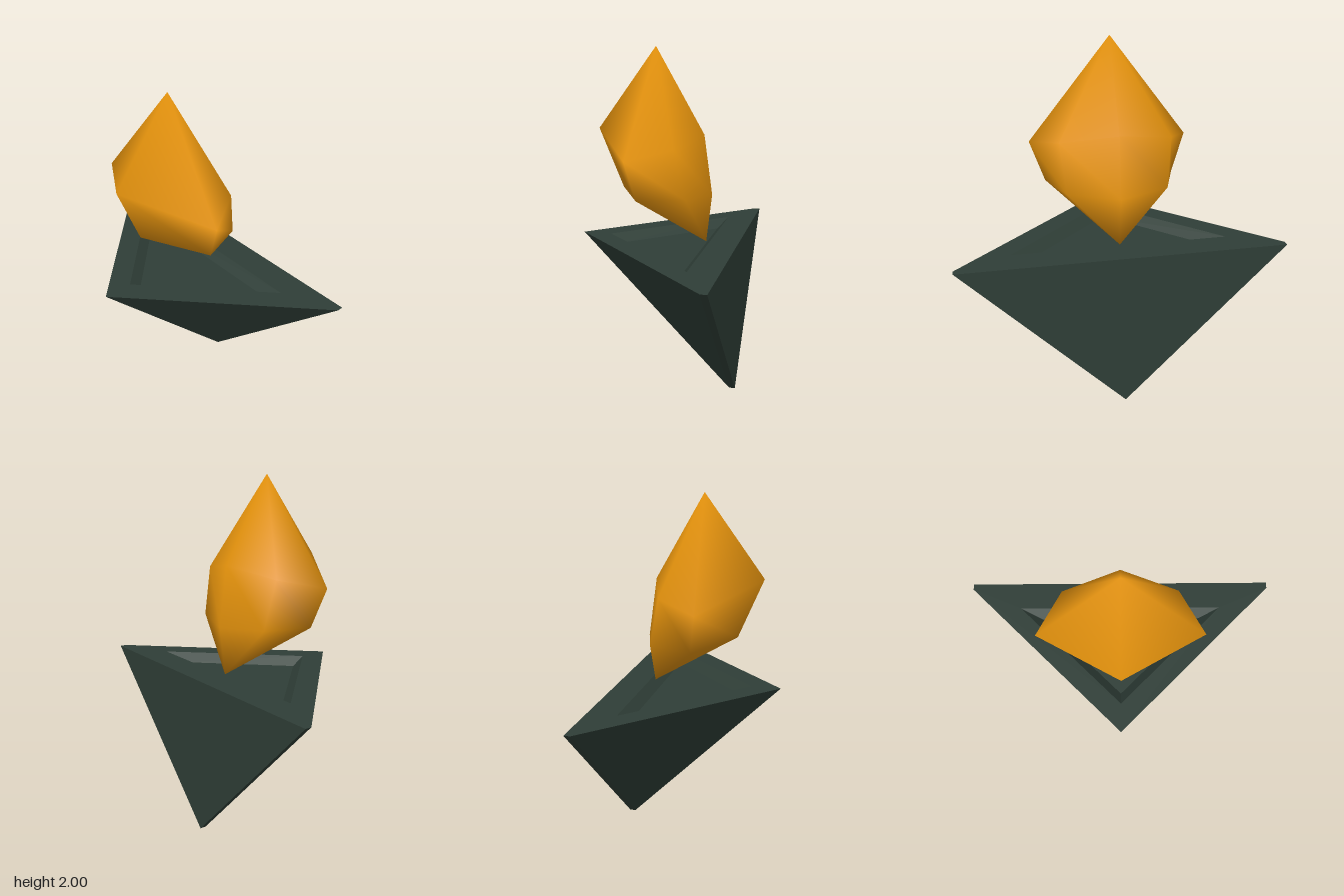
import * as THREE from 'three';

// Builds an indexed geometry from points and convex, counter-clockwise faces
function fromFaces(points, faces) {
  const g = new THREE.BufferGeometry();
  g.setAttribute('position', new THREE.Float32BufferAttribute(points.flat(), 3));
  const index = [];
  for (const f of faces) {
    for (let i = 1; i < f.length - 1; i++) index.push(f[0], f[i], f[i + 1]);
  }
  g.setIndex(index);
  return g;
}

// Inverted three-sided pyramid with a chamfered recess in its top
function makeBase() {
  const top = 0.91, floor = 0.86, w = 0.905, x1 = 0.435, x2 = 0.47;
  const points = [
    [-0.47, top, 0],                                               // 0 tip
    [x1, top, w], [x2, top, w], [x2, top, -w], [x1, top, -w],      // 1-4 top corners
    [x1, 0, 0], [x2, 0, 0],                                        // 5-6 bottom edge
    [-0.3, top, 0], [0.305, top, 0.605], [0.305, top, -0.605],     // 7-9 recess rim
    [-0.225, floor, 0], [0.255, floor, 0.48], [0.255, floor, -0.48] // 10-12 recess floor
  ];
  const faces = [
    [0, 1, 8, 7], [1, 2, 8], [2, 3, 9, 8], [3, 4, 9], [4, 0, 7, 9], // rim
    [7, 8, 11, 10], [8, 9, 12, 11], [9, 7, 10, 12], [10, 11, 12],   // recess
    [0, 5, 1], [0, 4, 5], [1, 5, 6, 2], [4, 3, 6, 5], [2, 6, 3]     // sides
  ];
  const g = fromFaces(points, faces).toNonIndexed();
  g.computeVertexNormals();
  return g;
}

// Smooth-shaded flame: two six-sided rings between a top and a bottom point
function makeFlame() {
  const half = (a, b, c, d) => [a, b, c, d,
    [c[0], c[1], -c[2]], [b[0], b[1], -b[2]]];
  const upper = half([-0.36, 1.54, 0], [-0.07, 1.42, 0.45], [0.16, 1.47, 0.31], [0.26, 1.52, 0]);
  const lower = half([-0.215, 1.2, 0], [-0.03, 1.2, 0.37], [0.22, 1.2, 0.28], [0.31, 1.18, 0]);
  const points = [...upper, ...lower, [-0.02, 2, 0], [0.28, 0.905, 0]];
  const faces = [];
  for (let i = 0; i < 6; i++) {
    const j = (i + 1) % 6;
    faces.push([12, i, j], [i, 6 + i, 6 + j, j], [6 + i, 13, 6 + j]);
  }
  const g = fromFaces(points, faces);
  g.computeVertexNormals();
  return g;
}

export function createModel() {
  const darkGreen = new THREE.MeshStandardMaterial({ color: 0x2f3e37 });
  darkGreen.name = 'darkGreen';
  const amber = new THREE.MeshStandardMaterial({ color: 0xf09a0e });
  amber.name = 'amber';

  const model = new THREE.Group();
  model.name = 'flameOnPyramid';
  const add = (name, geometry, material) => {
    const mesh = new THREE.Mesh(geometry, material);
    mesh.name = name;
    model.add(mesh);
  };
  add('base', makeBase(), darkGreen);
  add('flame', makeFlame(), amber);
  return model;
}
